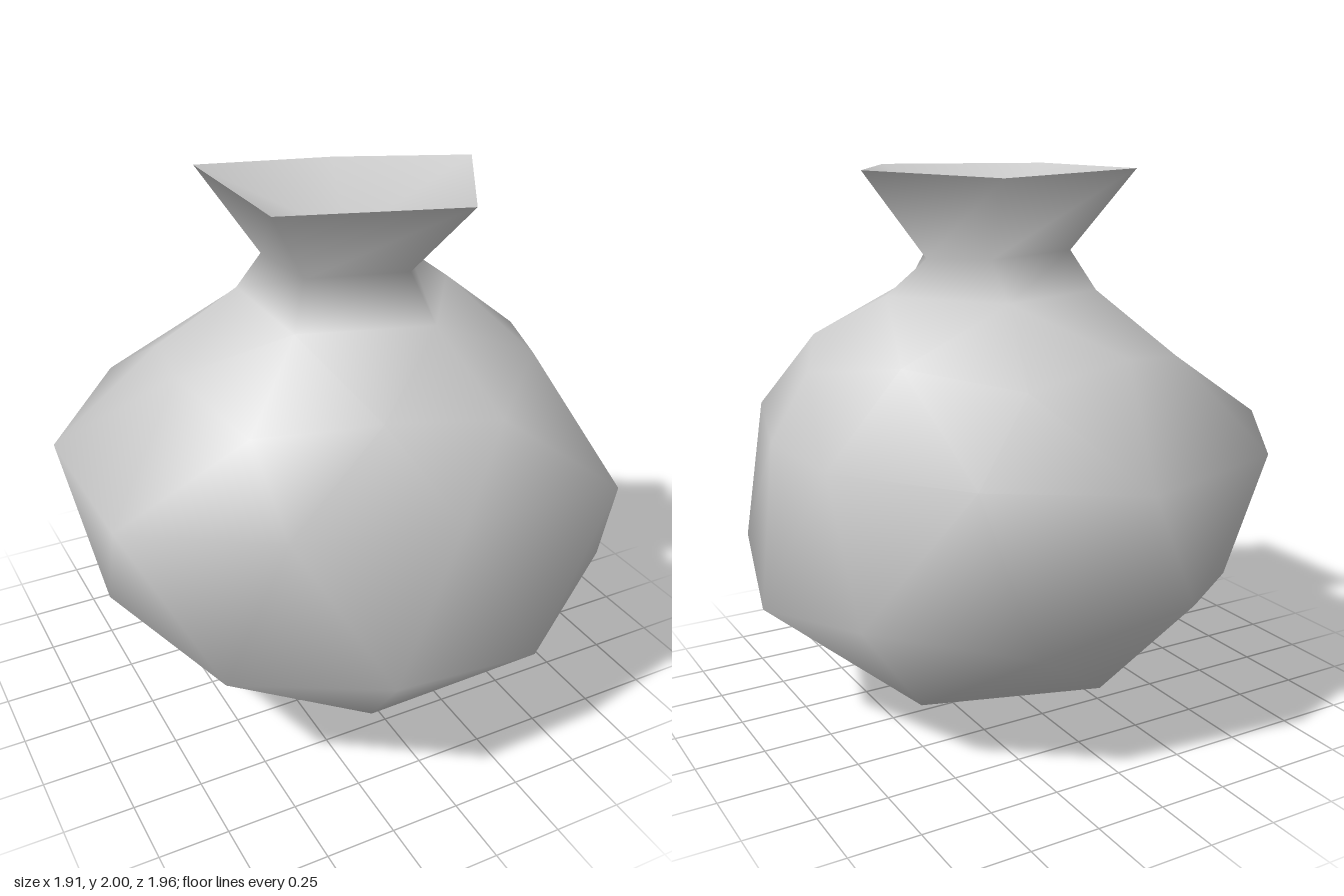
import * as THREE from 'three';

const CX = 0.05, CZ = 0.08; // vertical axis of the sack

// Ring of points: start angle and step in degrees, with optional moved points
function ring(count, start, radius, y, moved = {}) {
  return Array.from({ length: count }, (_, i) => {
    const a = THREE.MathUtils.degToRad(start + (i * 360) / count);
    return moved[i] || [CX + radius * Math.cos(a), y, CZ + radius * Math.sin(a)];
  });
}

// Indexed smooth mesh from named points
function smoothMesh(name, faces, material) {
  const ids = new Map(), pos = [], index = [];
  for (const p of faces.flat()) {
    if (!ids.has(p)) { ids.set(p, ids.size); pos.push(...p); }
    index.push(ids.get(p));
  }
  const g = new THREE.BufferGeometry();
  g.setAttribute('position', new THREE.Float32BufferAttribute(pos, 3));
  g.setIndex(index);
  g.computeVertexNormals();
  const mesh = new THREE.Mesh(g, material);
  mesh.name = name;
  return mesh;
}

export function createModel() {
  const cloth = new THREE.MeshStandardMaterial({ color: 0xcccccc });
  cloth.name = 'plain cloth';

  // Rings from the ground up
  const base = [CX, 0, CZ];
  const foot = ring(5, 36, 0.557, 0.16);
  const lowMid = ring(5, 0, 0.902, 0.5);
  const low = ring(5, 36, 0.948, 0.59);
  // The belly is dented at the front and on the left
  const belly = ring(10, 18, 1.06, 1.06, {
    0: [0.81, 1.03, 0.32], 1: [0.65, 1.05, 0.89], 2: [0.08, 1.04, 0.84],
    3: [-0.49, 1.06, 0.71], 8: [0.5, 1.06, -0.68], 9: [0.8, 1.04, -0.17],
  });
  const high = ring(5, 0, 0.7, 1.33);
  const highMid = ring(5, 36, 0.65, 1.39);
  const shoulder = ring(5, 0, 0.4, 1.57);
  const neck = [[0.29, 1.69, 0.08], [0.13, 1.73, 0.36], [-0.21, 1.73, 0.26],
    [-0.21, 1.71, -0.08], [0.12, 1.69, -0.08]];
  const rim = [[0.53, 2, 0.08], [0.22, 2, 0.59], [-0.38, 2, 0.39],
    [-0.38, 2, -0.24], [0.13, 1.975, -0.195]];
  const pit = [0.02, 1.8, 0.12];

  const body = [], mouth = [];
  for (let k = 0; k < 5; k++) {
    const n = (k + 1) % 5;
    const e0 = belly[2 * k], e1 = belly[2 * k + 1], eP = belly[(2 * k + 9) % 10];
    body.push(
      // underside
      [base, foot[k], foot[n]], [foot[k], lowMid[k], low[k]],
      [foot[k], low[k], lowMid[n]], [lowMid[n], foot[n], foot[k]],
      // lower belly
      [low[k], lowMid[k], e0], [lowMid[n], low[k], e1],
      [lowMid[k], eP, e0], [low[k], e0, e1],
      // upper belly
      [high[k], e0, eP], [high[k], highMid[k], e0],
      [highMid[k], e1, e0], [highMid[k], high[n], e1],
      // shoulders
      [shoulder[k], highMid[k], high[k]], [shoulder[k], shoulder[n], highMid[k]],
      [shoulder[n], high[n], highMid[k]],
    );
    // pinched neck and flared collar
    for (const [lo, up] of [[shoulder, neck], [neck, rim]])
      body.push([lo[n], lo[k], up[k]], [lo[n], up[k], up[n]]);
    // hollow of the mouth
    mouth.push([pit, rim[n], rim[k]]);
  }

  const group = new THREE.Group();
  group.name = 'sack';
  group.add(smoothMesh('sackBody', body, cloth), smoothMesh('sackMouth', mouth, cloth));
  return group;
}
